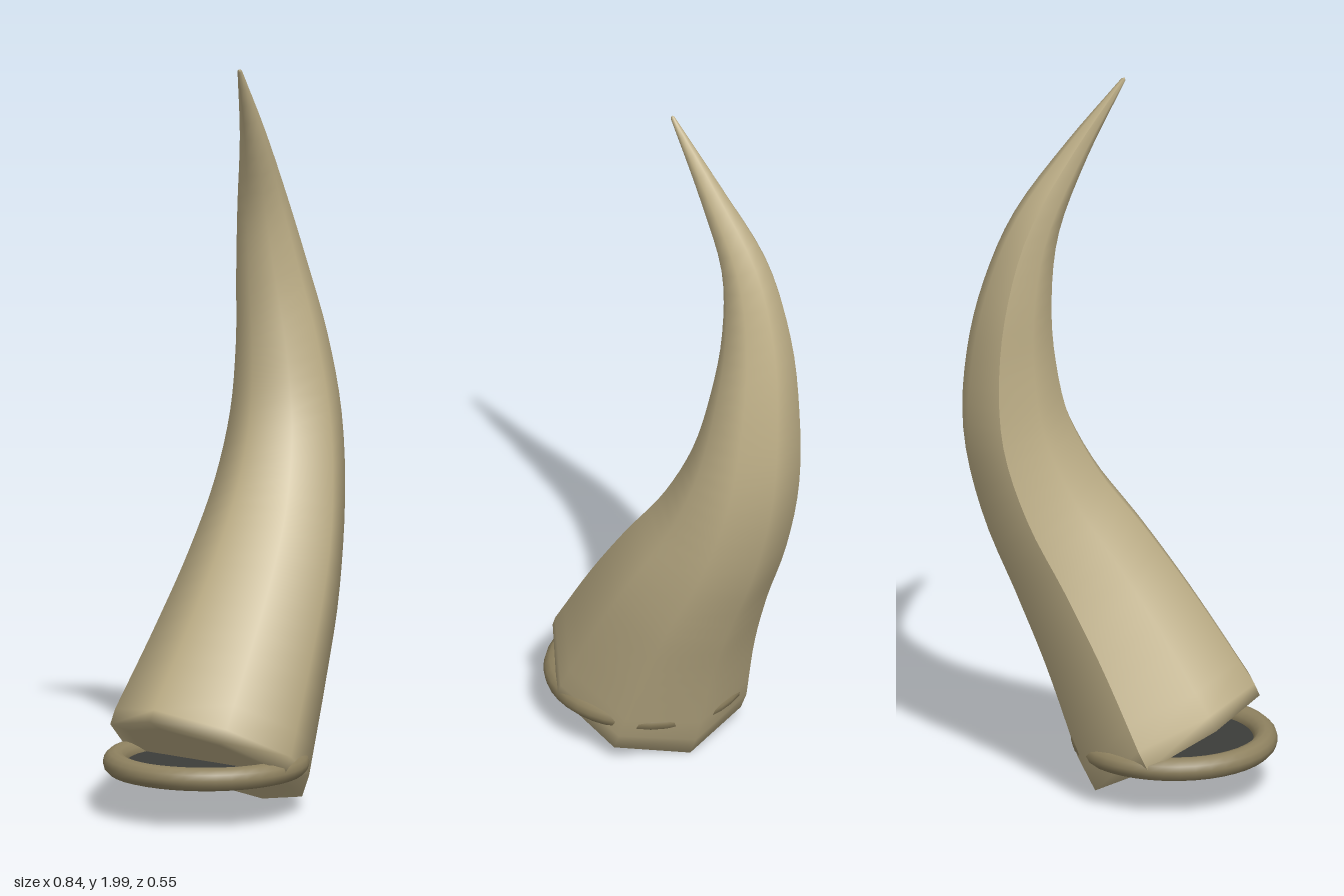
import * as THREE from 'three';

const SIDES = 8;

// Stations along the horn: centre x, y, z and radius
const STATIONS = [
  [-0.145, 0.148, 0, 0.281],
  [-0.015, 0.4, 0.004, 0.242],
  [0.095, 0.6, -0.006, 0.212],
  [0.202, 0.8, -0.037, 0.18],
  [0.267, 1.0, -0.066, 0.152],
  [0.28, 1.2, -0.089, 0.125],
  [0.26, 1.4, -0.107, 0.097],
  [0.21, 1.6, -0.1, 0.067],
  [0.112, 1.8, -0.052, 0.035],
  [-0.005, 1.995, 0, 0.006],
];
const spine = new THREE.CatmullRomCurve3(
  STATIONS.map(([x, y, z]) => new THREE.Vector3(x, y, z)), false, 'catmullrom');
const girth = new THREE.CatmullRomCurve3(
  STATIONS.map((s) => new THREE.Vector3(s[3], 0, 0)), false, 'catmullrom');

// One octagonal cross-section, square to the spine, starting and ending at the back seam
function section(t, scale = 1) {
  const centre = spine.getPoint(t);
  const along = t === 0 ? new THREE.Vector3(0.512, 0.859, 0) : spine.getTangent(t);
  const u = new THREE.Vector3(along.y, -along.x, 0).normalize();
  const v = new THREE.Vector3().crossVectors(u, along).normalize();
  const r = girth.getPoint(t).x * scale;
  return Array.from({ length: SIDES + 1 }, (_, j) => {
    const a = (j / SIDES) * Math.PI * 2 - Math.PI / 2;
    return centre.clone().addScaledVector(u, r * Math.cos(a)).addScaledVector(v, r * Math.sin(a));
  });
}

// Skin over a list of cross-sections, smooth except for the seam
function loft(rows) {
  const index = [];
  const width = SIDES + 1;
  for (let i = 0; i < rows.length - 1; i++) {
    for (let j = 0; j < SIDES; j++) {
      const a = i * width + j;
      index.push(a, a + width, a + 1, a + 1, a + width, a + width + 1);
    }
  }
  const geometry = new THREE.BufferGeometry().setFromPoints(rows.flat());
  geometry.setIndex(index);
  geometry.computeVertexNormals();
  return geometry;
}

export function createModel() {
  const group = new THREE.Group();
  const material = (name, color) => {
    const m = new THREE.MeshStandardMaterial({ color, side: THREE.DoubleSide });
    m.name = name;
    return m;
  };
  const horn = material('horn', 0xbfb088);
  const brown = material('ringBrown', 0x8f8260);
  const dark = material('darkHollow', 0x3c3d3a);

  const add = (name, geometry, mat) => {
    const mesh = new THREE.Mesh(geometry, mat);
    mesh.name = name;
    group.add(mesh);
    return mesh;
  };

  // Curved, tapering horn: slanted base with a softened edge, then the body up to a point
  const START = 0.02, STEPS = 36, EDGE = 0.973;
  const rows = [section(0, 0), section(0, 0.8), section(0, EDGE)];
  for (let i = 0; i <= STEPS; i++) rows.push(section(START + (1 - START) * i / STEPS));
  rows.push(Array(SIDES + 1).fill(new THREE.Vector3(-0.009, 2, 0)));
  add('hornBody', loft(rows), horn);

  // Level ring through the base, closed by a dark disc
  const ring = add('ring', new THREE.TorusGeometry(0.243, 0.032, 12, 40), brown);
  const disc = add('ringDisc', new THREE.CircleGeometry(0.243, 40), dark);
  for (const part of [ring, disc]) {
    part.rotation.x = -Math.PI / 2;
    part.position.set(-0.145, 0.145, 0);
  }
  return group;
}
